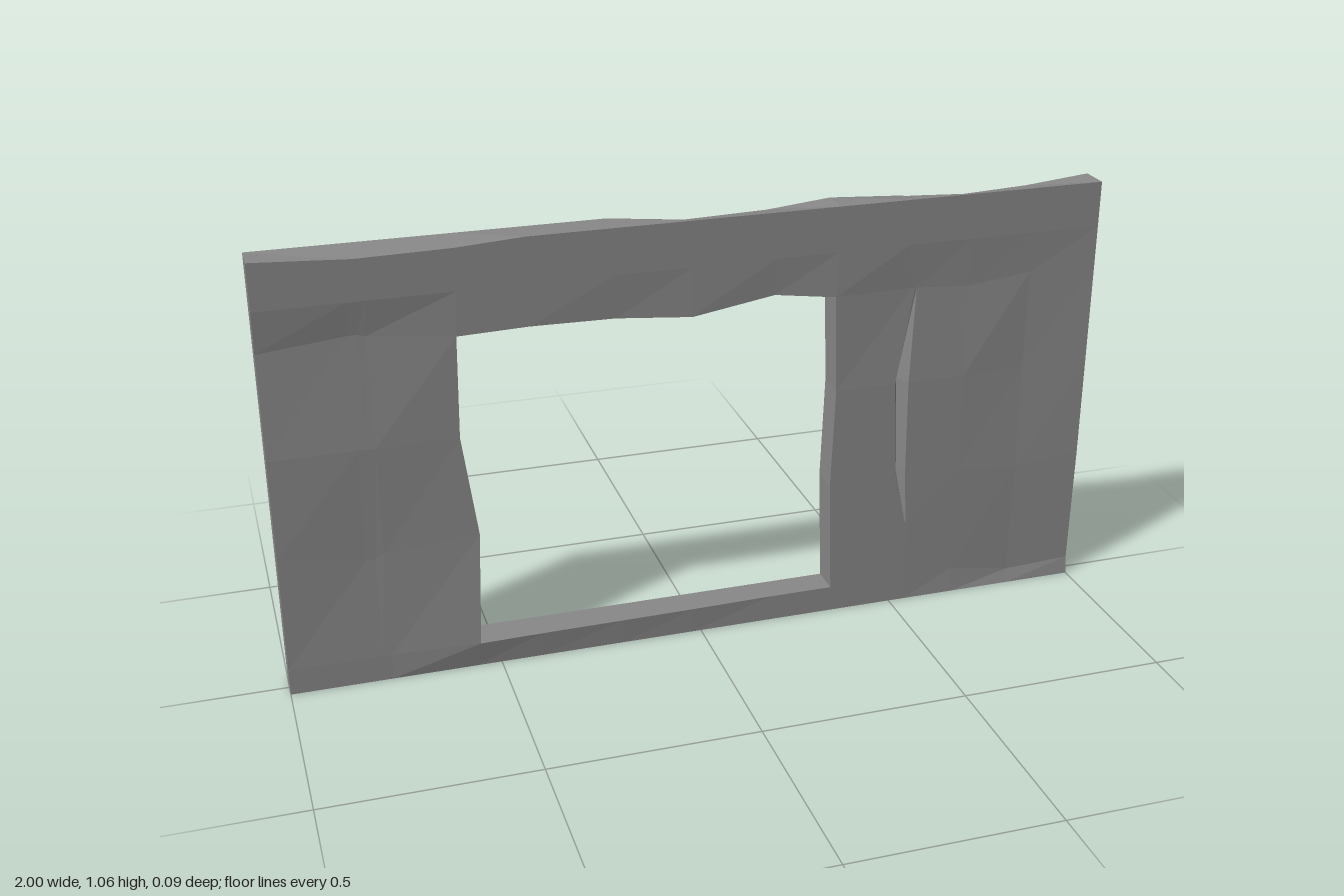
import * as THREE from 'three';

// Shared grid of the slab; columns 4..9 and rows 1..4 frame the opening
const COLS = [-1, -0.8, -0.78, -0.76, -0.56, -0.4, -0.2, -0.02, 0.18, 0.335, 0.51, 0.525, 0.54, 0.67, 0.83, 1];
const ROWS = [0, 0.065, 0.35, 0.6, 0.85, 0.95, 1.06];
const NX = COLS.length - 1, NY = ROWS.length - 1;

// Rough outline of the opening
const LEFT_X = [-0.55, -0.537, -0.57, -0.565];
const RIGHT_X = [0.34, 0.33, 0.338, 0.33];
const LINTEL_Y = [0.845, 0.85, 0.845, 0.83, 0.86, 0.84];

// Cracks: first column, then left x, right x and y for rows 1..4
const CRACKS = {
  front: { col: 10, a: [0.533, 0.503, 0.49, 0.527], b: [0.539, 0.528, 0.525, 0.537], y: [0.22, 0.36, 0.6, 0.84] },
  back: { col: 1, a: [-0.761, -0.772, -0.766, -0.81], b: [-0.755, -0.747, -0.732, -0.804], y: [0.17, 0.36, 0.6, 0.91] },
};

// Shallow dents and swellings: [column, row, z shift, y shift]
const RELIEF = {
  front: [
    [4, 1, 0.011, 0], [5, 1, 0.008, 0], [6, 1, 0.006, 0], [7, 1, 0.004, 0],
    [1, 4, -0.01, 0.02], [2, 4, -0.01, 0.02], [3, 4, -0.01, 0.015], [0, 4, -0.008, 0],
    [1, 2, -0.006, -0.03], [2, 2, -0.006, -0.03], [3, 2, -0.005, -0.02],
    [10, 4, -0.007, 0], [11, 4, -0.007, 0], [12, 4, -0.007, 0], [13, 4, -0.006, -0.02],
    [13, 1, -0.004, 0], [14, 1, -0.009, -0.03], [15, 1, -0.006, -0.02],
    [14, 2, -0.003, -0.02], [14, 3, -0.006, 0], [14, 4, -0.004, 0],
    [6, 4, -0.005, 0], [8, 4, -0.005, 0],
    [1, 6, 0, -0.012], [2, 6, 0, -0.013], [3, 6, 0, -0.013], [4, 6, 0, -0.01],
  ],
  back: [
    [13, 1, 0.008, 0.02], [13, 2, 0.006, 0], [13, 3, 0.01, 0.03], [14, 4, 0.007, 0],
    [10, 3, 0.007, 0], [11, 3, 0.007, 0], [12, 3, 0.007, 0], [14, 2, 0.004, 0],
    [13, 4, -0.003, 0], [13, 5, -0.002, 0], [8, 4, 0.005, 0], [6, 4, 0.006, 0],
    [10, 6, 0.004, -0.01], [11, 6, 0.006, -0.012], [12, 6, 0.007, -0.012],
    [13, 6, 0.012, -0.018], [14, 6, 0.01, -0.012], [7, 6, 0, -0.02], [8, 6, 0, -0.015],
  ],
};

// Position of one grid point on the front or back face
function point(side, i, j) {
  const inward = side === 'front' ? -1 : 1;
  let x = COLS[i], y = ROWS[j], z = side === 'front' ? 0.033 : -0.04;
  const k = j - 1;
  if (k >= 0 && k < 4) {
    if (i === 4) x = LEFT_X[k];
    if (i === 9) x = RIGHT_X[k];
    if (j === 4 && i >= 4 && i <= 9) y = LINTEL_Y[i - 4];
    const crack = CRACKS[side], c = i - crack.col;
    if (c >= 0 && c <= 2) {
      x = [crack.a[k], (crack.a[k] + crack.b[k]) / 2, crack.b[k]][c];
      y = crack.y[k];
      if (c === 1 && (k === 1 || k === 2)) z += inward * 0.035;
    }
  }
  for (const [ci, rj, dz, dy] of RELIEF[side]) {
    if (ci === i && rj === j) { z += dz; y += dy; }
  }
  return [x, y, z];
}

function faceted(name, quads, material) {
  const positions = quads.flatMap(([a, b, c, d]) => [...a, ...b, ...c, ...a, ...c, ...d]);
  const geometry = new THREE.BufferGeometry();
  geometry.setAttribute('position', new THREE.Float32BufferAttribute(positions, 3));
  geometry.computeVertexNormals();
  const mesh = new THREE.Mesh(geometry, material);
  mesh.name = name;
  return mesh;
}

// Broad face with the opening left out
function faceQuads(side) {
  const quads = [];
  for (let i = 0; i < NX; i++) {
    for (let j = 0; j < NY; j++) {
      if (i >= 4 && i < 9 && j >= 1 && j < 4) continue;
      const quad = [[i, j], [i + 1, j], [i + 1, j + 1], [i, j + 1]].map(([p, q]) => point(side, p, q));
      quads.push(side === 'front' ? quad : quad.reverse());
    }
  }
  return quads;
}

// Counter-clockwise loop of grid points around a rectangle of cells
function loop(i0, i1, j0, j1) {
  const points = [];
  for (let i = i0; i < i1; i++) points.push([i, j0]);
  for (let j = j0; j < j1; j++) points.push([i1, j]);
  for (let i = i1; i > i0; i--) points.push([i, j1]);
  for (let j = j1; j > j0; j--) points.push([i0, j]);
  return points;
}

// Walls joining the front and back faces along a loop
function rimQuads(points) {
  return points.map((p, n) => {
    const q = points[(n + 1) % points.length];
    return [point('front', ...p), point('back', ...p), point('back', ...q), point('front', ...q)];
  });
}

export function createModel() {
  const stone = new THREE.MeshStandardMaterial({ color: 0x888888 });
  stone.name = 'grey stone';
  stone.flatShading = true;

  const wall = new THREE.Group();
  wall.name = 'wallWithOpening';
  wall.add(
    faceted('frontFace', faceQuads('front'), stone),
    faceted('backFace', faceQuads('back'), stone),
    faceted('outerEdge', rimQuads(loop(0, NX, 0, NY)), stone),
    faceted('openingEdge', rimQuads(loop(4, 9, 1, 4).reverse()), stone),
  );
  return wall;
}
